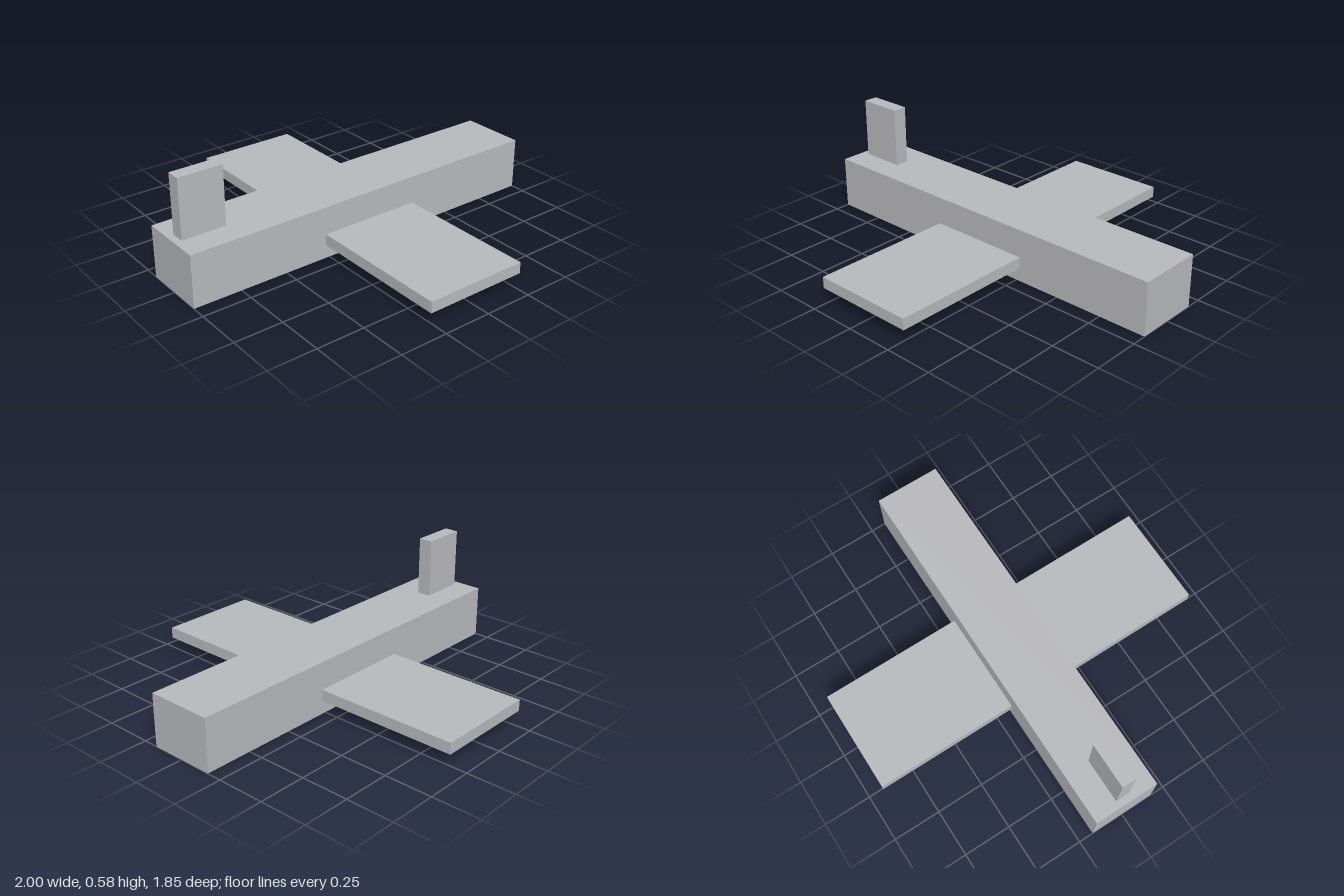
import * as THREE from 'three';

export function createModel() {
  const model = new THREE.Group();
  model.name = 'toyPlane';

  const grey = new THREE.MeshStandardMaterial({ color: 0xb8b9bd });
  grey.name = 'light grey';

  // Box given by its minimum and maximum corners
  function addBox(name, [x0, y0, z0], [x1, y1, z1]) {
    const mesh = new THREE.Mesh(new THREE.BoxGeometry(x1 - x0, y1 - y0, z1 - z0), grey);
    mesh.position.set((x0 + x1) / 2, (y0 + y1) / 2, (z0 + z1) / 2);
    mesh.name = name;
    model.add(mesh);
  }

  // Long body, nose towards +x
  addBox('fuselage', [-1, 0, -0.173], [1, 0.272, 0.173]);

  // One straight wing passing through the body
  addBox('wing', [-0.27, 0.07, -0.923], [0.27, 0.128, 0.923]);

  // Upright fin on top of the tail end
  addBox('tailFin', [-0.963, 0.272, -0.037], [-0.732, 0.58, 0.037]);

  return model;
}
